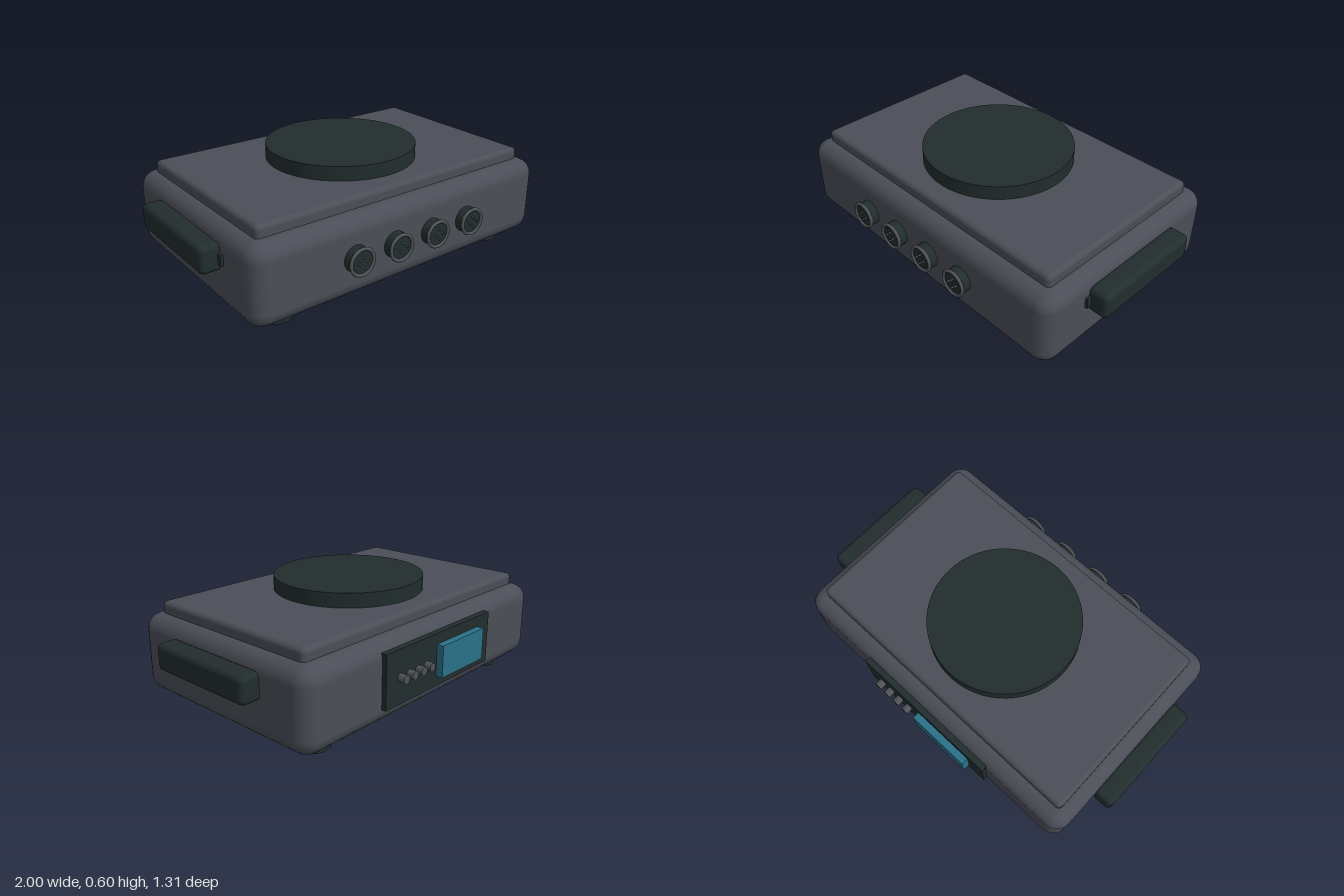
import * as THREE from 'three';
import { RoundedBoxGeometry } from 'three/addons/geometries/RoundedBoxGeometry.js';

const material = (name, color) => {
  const m = new THREE.MeshStandardMaterial({ color });
  m.name = name;
  return m;
};

export function createModel() {
  const casing = material('slate casing', 0x4b4e57);
  const rubber = material('dark rubber', 0x222d2d);
  const metal = material('grey metal', 0x505356);
  const glass = material('teal display', 0x2b7188);

  const model = new THREE.Group();
  model.name = 'deviceBox';

  const add = (name, geometry, mat, x, y, z, parent = model) => {
    const mesh = new THREE.Mesh(geometry, mat);
    mesh.name = name;
    mesh.position.set(x, y, z);
    parent.add(mesh);
    return mesh;
  };
  const rounded = (w, h, d, r, segments = 3) => new RoundedBoxGeometry(w, h, d, segments, r);
  // Cylinder whose axis runs along z
  const rod = (r, length, sides = 32) =>
    new THREE.CylinderGeometry(r, r, length, sides).rotateX(Math.PI / 2);

  // Casing, raised lid and round top pad
  add('body', rounded(1.8, 0.415, 1.18, 0.085), casing, 0, 0.2575, 0);
  add('lid', rounded(1.65, 0.11, 1.01, 0.025), casing, 0, 0.47, 0);
  add('topPad', new THREE.CylinderGeometry(0.395, 0.395, 0.08, 64), rubber, 0, 0.56, 0);

  // Feet and side grips
  for (const side of [-1, 1]) {
    for (const end of [-1, 1]) {
      add('foot', new THREE.CylinderGeometry(0.085, 0.085, 0.06, 32), rubber, side * 0.69, 0.03, end * 0.41);
    }
    add('sideGrip', rounded(0.115, 0.138, 0.625, 0.028), rubber, side * 0.9425, 0.326, 0.003);
    add('gripMount', new THREE.BoxGeometry(0.04, 0.055, 0.08), rubber, side * 0.895, 0.322, 0.3);
  }

  // Front sockets: barrel, rim and four pins
  for (let i = 0; i < 4; i++) {
    const socket = new THREE.Group();
    socket.name = 'socket';
    socket.position.set(-0.358 + i * 0.237, 0.264, 0.59);
    model.add(socket);
    add('barrel', rod(0.067, 0.07), rubber, 0, 0, 0.015, socket);
    add('rim', new THREE.TorusGeometry(0.066, 0.009, 8, 32), metal, 0, 0, 0.05, socket);
    for (let p = 0; p < 4; p++) {
      const a = p * Math.PI / 2;
      add('pin', rod(0.005, 0.025, 8), metal, 0.025 * Math.cos(a), 0.025 * Math.sin(a), 0.053, socket);
    }
  }

  // Rear control panel with display and buttons
  add('rearPanel', new THREE.BoxGeometry(0.84, 0.277, 0.045), rubber, 0, 0.2745, -0.5925);
  add('display', new THREE.BoxGeometry(0.352, 0.167, 0.05), glass, -0.139, 0.2735, -0.628);
  for (let i = 0; i < 4; i++) {
    add('button', rod(0.022, 0.05, 16), metal, 0.118 + i * 0.0665, 0.272, -0.628);
  }

  return model;
}
